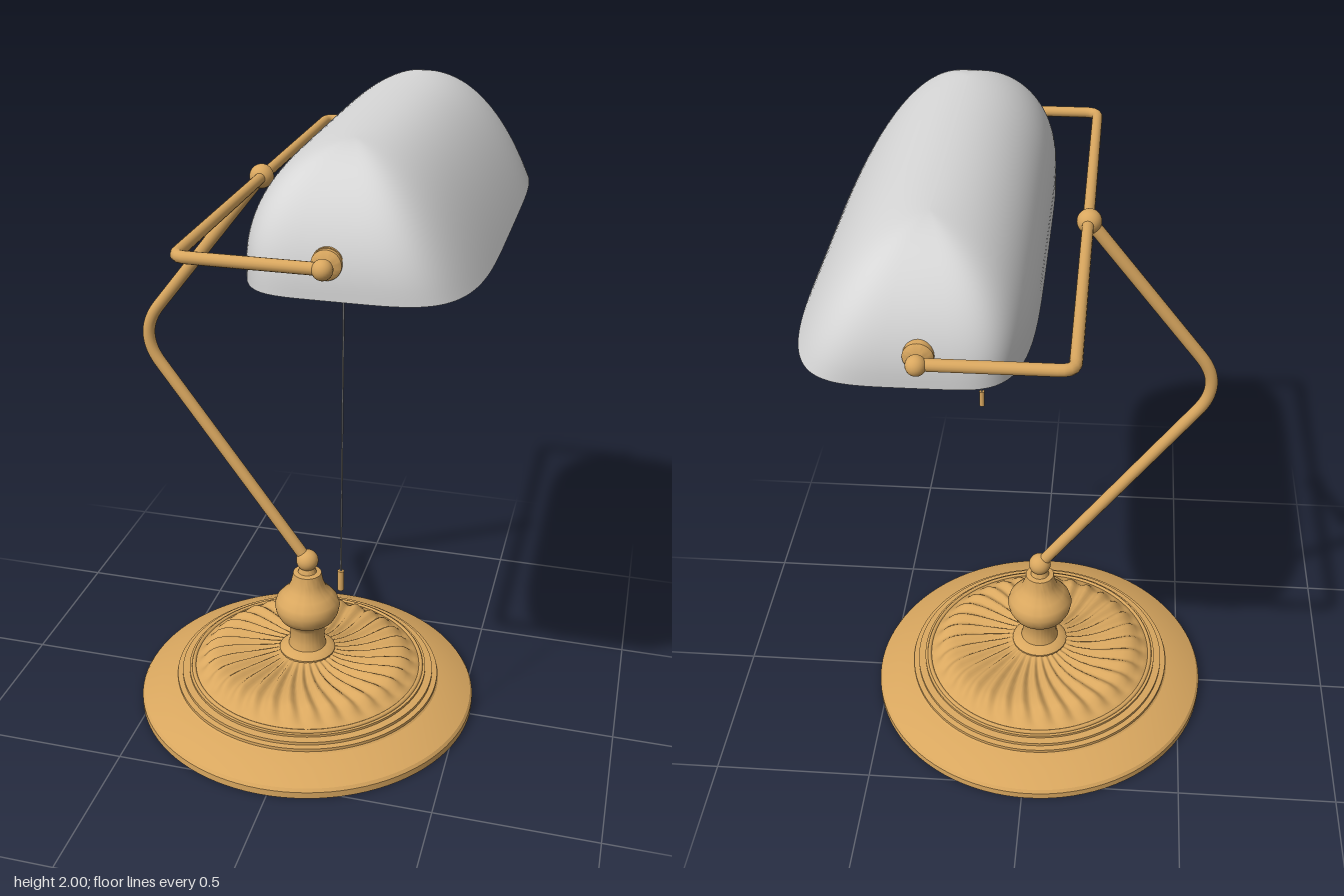
import * as THREE from 'three';
import { mergeGeometries, mergeVertices, toCreasedNormals } from 'three/addons/utils/BufferGeometryUtils.js';

const brass = new THREE.MeshStandardMaterial({ color: 0xd9a75f });
brass.name = 'brass';
const pale = new THREE.MeshStandardMaterial({ color: 0xd6d6d6, side: THREE.DoubleSide });
pale.name = 'pale grey';
const chainGrey = new THREE.MeshStandardMaterial({ color: 0x8c8c8c });
chainGrey.name = 'chain grey';

const BASE_X = -0.02, SHADE_X = 0.22, PIVOT_Y = 1.765;
const v3 = (x, y, z) => new THREE.Vector3(x, y, z);

function lathe(profile, segments = 64, crease = 0.55) {
  const points = profile.map(([r, y]) => new THREE.Vector2(r, y));
  return toCreasedNormals(new THREE.LatheGeometry(points, segments), crease);
}

// Straight runs joined by a rounded bend at each inner corner
function bentTube(corners, bend, radius) {
  const path = new THREE.CurvePath();
  let from = corners[0];
  for (let i = 1; i < corners.length - 1; i++) {
    const c = corners[i];
    const a = c.clone().add(corners[i - 1].clone().sub(c).setLength(bend));
    const b = c.clone().add(corners[i + 1].clone().sub(c).setLength(bend));
    path.add(new THREE.LineCurve3(from, a));
    path.add(new THREE.QuadraticBezierCurve3(a, c, b));
    from = b;
  }
  path.add(new THREE.LineCurve3(from, corners[corners.length - 1]));
  return new THREE.TubeGeometry(path, 160, radius, 16);
}

// Skin over closed rings that all have the same number of points
function loft(rings) {
  const n = rings[0].length, index = [];
  for (let i = 0; i < rings.length - 1; i++) {
    for (let j = 0; j < n; j++) {
      const a = i * n + j, b = i * n + (j + 1) % n;
      index.push(a, a + n, b, b, a + n, b + n);
    }
  }
  const geo = new THREE.BufferGeometry();
  geo.setAttribute('position', new THREE.Float32BufferAttribute(rings.flat(2), 3));
  geo.setIndex(index);
  geo.computeVertexNormals();
  return geo;
}

// Horizontal outline of the shade at height fraction h, shrunk by inset
function shadeRing(h, inset) {
  const y = 1.675 + 0.325 * h;
  const round = (start) => Math.sqrt(Math.max(0, 1 - Math.max(0, (y - start) / (2 - start)) ** 2));
  const left = Math.max(0, 0.262 * round(1.73) - inset);
  const right = Math.max(0, 0.352 * (1 - h) ** 0.45 - inset);
  const end = 0.42 + 0.29 * round(1.7) - inset;
  const power = (v, p) => Math.sign(v) * Math.abs(v) ** p;
  const ring = [];
  for (let j = 0; j < 128; j++) {
    const a = (j / 128) * Math.PI * 2;
    const c = power(Math.cos(a), 0.42), s = power(Math.sin(a), 0.42);
    ring.push([SHADE_X + c * (c > 0 ? right : left), y - inset * h, end * s]);
  }
  return ring;
}

function shadeGeometry() {
  const levels = Array.from({ length: 37 }, (_, i) => 1 - (1 - i / 36) ** 2.2);
  const outer = loft(levels.map((h) => shadeRing(h, 0)));
  const inner = loft(levels.map((h) => shadeRing(h, 0.01)).reverse());
  const rim = loft([shadeRing(0, 0.01), shadeRing(0, 0)]);
  return mergeGeometries([outer, inner, rim]);
}

// Dome with gently swirling flutes pressed into its top
function flutedDome() {
  const profile = [[0.385, 0.105], [0.375, 0.115], [0.36, 0.122], [0.345, 0.132], [0.33, 0.146], [0.312, 0.155],
    [0.29, 0.159], [0.25, 0.159], [0.21, 0.156], [0.17, 0.155], [0.13, 0.158], [0.1, 0.165], [0.07, 0.17]];
  const geo = new THREE.LatheGeometry(profile.reverse().map(([r, y]) => new THREE.Vector2(r, y)).reverse(), 288);
  const p = geo.attributes.position;
  for (let i = 0; i < p.count; i++) {
    const x = p.getX(i), z = p.getZ(i), r = Math.hypot(x, z);
    const fade = THREE.MathUtils.smoothstep(r, 0.07, 0.16) * (1 - THREE.MathUtils.smoothstep(r, 0.33, 0.37));
    const wave = Math.cos(32 * (Math.atan2(z, x) + 0.9 * r));
    p.setY(i, p.getY(i) + 0.008 * fade * wave);
  }
  geo.deleteAttribute('normal');
  geo.deleteAttribute('uv');
  const merged = mergeVertices(geo);
  merged.computeVertexNormals();
  return merged;
}

export function createModel() {
  const model = new THREE.Group();
  const add = (name, geo, mat, x = 0, y = 0, z = 0) => {
    const mesh = new THREE.Mesh(geo, mat);
    mesh.name = name;
    mesh.position.set(x, y, z);
    model.add(mesh);
    return mesh;
  };

  // Stepped round base
  add('base', lathe([[0, 0], [0.555, 0], [0.555, 0.022], [0.548, 0.032], [0.49, 0.06], [0.44, 0.075], [0.435, 0.08],
    [0.435, 0.09], [0.418, 0.092], [0.418, 0.102], [0.395, 0.104], [0.395, 0.112], [0.36, 0.112], [0, 0.112]], 96, 0.4),
  brass, BASE_X);
  add('flutedDome', flutedDome(), brass, BASE_X);
  add('domeBead', new THREE.TorusGeometry(0.38, 0.007, 8, 96).rotateX(Math.PI / 2), brass, BASE_X, 0.114);

  // Turned column and ball joint
  add('column', lathe([[0.09, 0.15], [0.092, 0.172], [0.08, 0.183], [0.062, 0.188], [0.057, 0.21], [0.057, 0.255],
    [0.065, 0.27], [0.072, 0.28], [0.09, 0.292], [0.102, 0.315], [0.107, 0.34], [0.1, 0.362], [0.08, 0.385],
    [0.062, 0.402], [0.053, 0.425], [0.048, 0.448], [0.046, 0.46], [0.03, 0.463], [0.025, 0.48], [0, 0.48]]),
  brass, BASE_X);
  add('lowerJoint', new THREE.SphereGeometry(0.036, 32, 20), brass, BASE_X, 0.505);

  // Bent arm and the bracket that carries the shade
  add('arm', bentTube([v3(BASE_X, 0.505, 0), v3(-0.562, 1.245, 0), v3(-0.155, PIVOT_Y, 0)], 0.12, 0.019), brass);
  add('upperJoint', new THREE.SphereGeometry(0.035, 32, 20), brass, -0.153, PIVOT_Y);
  add('bracket', bentTube([v3(SHADE_X, PIVOT_Y, 0.742), v3(-0.15, PIVOT_Y, 0.742),
    v3(-0.15, PIVOT_Y, -0.742), v3(SHADE_X, PIVOT_Y, -0.742)], 0.035, 0.016), brass);
  for (const side of [1, -1]) {
    add('pivotKnob', new THREE.SphereGeometry(0.026, 24, 16), brass, SHADE_X, PIVOT_Y, side * 0.746);
    const washer = lathe([[0, -0.035], [0.038, -0.035], [0.038, 0.002], [0.03, 0.008], [0.014, 0.012], [0.014, 0.03]], 32);
    add('pivotWasher', washer, brass, SHADE_X, PIVOT_Y, side * 0.71).rotation.x = side * Math.PI / 2;
  }

  add('shade', shadeGeometry(), pale);

  // Lamp holder and bulb lie along the shade, measured from its front end
  const alongShade = (name, profile, mat, crease) => {
    add(name, lathe(profile, 48, crease), mat, SHADE_X, PIVOT_Y, 0.7).rotation.x = -Math.PI / 2;
  };
  alongShade('holderCap', [[0, 0], [0.04, 0], [0.04, 0.06], [0, 0.06]], brass);
  const thread = [[0.045, 0.16]];
  for (let i = 0; i < 8; i++) thread.push([0.07, 0.165 + i * 0.012], [0.062, 0.171 + i * 0.012]);
  alongShade('lampHolder', [[0, 0.055], [0.035, 0.055], [0.05, 0.075], [0.05, 0.16], ...thread, [0.048, 0.262]], pale);
  const bulb = new THREE.SplineCurve([[0.045, 0.24], [0.048, 0.29], [0.06, 0.38], [0.078, 0.49], [0.094, 0.6],
    [0.106, 0.71], [0.105, 0.79], [0.086, 0.855], [0.048, 0.893], [0, 0.905]].map(([r, y]) => new THREE.Vector2(r, y)));
  alongShade('bulb', bulb.getPoints(40).map((p) => [Math.max(0, p.x), p.y]), pale, 1);

  // Pull chain
  add('pullChain', new THREE.CylinderGeometry(0.0025, 0.0025, 0.79, 8), chainGrey, SHADE_X, 1.215, 0.53);
  add('pullHandle', new THREE.CylinderGeometry(0.009, 0.009, 0.06, 16), brass, SHADE_X, 0.79, 0.53);

  return model;
}
